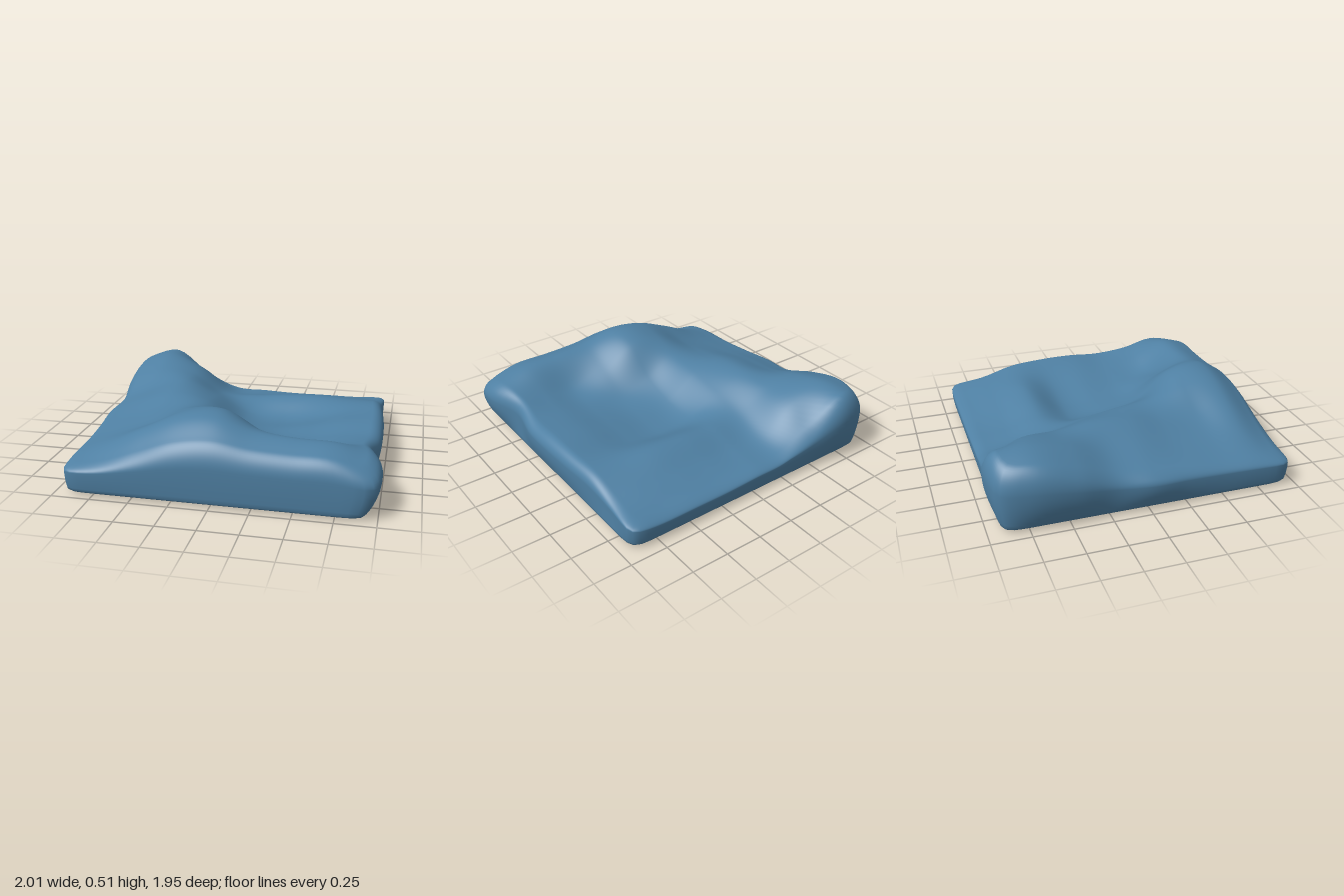
import * as THREE from 'three';
import { mergeVertices } from 'three/addons/utils/BufferGeometryUtils.js';

// Heights of the rolling top: rows run back to front, columns run -x to +x.
const HEIGHTS = [
  [.40, .45, .27, .17, .16, .15, .15, .15, .17],
  [.42, .465, .38, .21, .19, .20, .21, .21, .20],
  [.36, .42, .39, .26, .25, .27, .28, .27, .27],
  [.27, .35, .41, .32, .20, .18, .21, .26, .29],
  [.25, .33, .40, .36, .22, .19, .22, .27, .29],
  [.23, .29, .36, .39, .29, .22, .22, .26, .28],
  [.21, .27, .35, .46, .47, .34, .26, .29, .32],
  [.20, .27, .38, .475, .50, .43, .405, .395, .34],
  [.18, .20, .27, .35, .38, .36, .35, .35, .29],
];
// How far each side swells past its straight base.
const LEFT = [.0, .045, .045, .015, .035, .015, .005, .005, 0];
const RIGHT = [0, -.015, -.005, .015, .025, .02, -.01, .055, .05];
const BACK = [.01, .045, .015, 0, 0, 0, 0, 0, 0];

// Smooth curve through evenly spaced values, t from 0 to 1.
function spline(values, t) {
  const n = values.length - 1;
  const f = THREE.MathUtils.clamp(t, 0, 1) * n;
  const i = Math.min(Math.floor(f), n - 1);
  const u = f - i;
  const at = (k) => values[THREE.MathUtils.clamp(k, 0, n)];
  const [a, b, c, d] = [at(i - 1), at(i), at(i + 1), at(i + 2)];
  return b + 0.5 * u * (c - a + u * (2 * a - 5 * b + 4 * c - d + u * (3 * (b - c) + d - a)));
}

const across = (x) => (x + 0.96) / 1.92;
const along = (z) => (z + 0.925) / 1.89;
const height = (x, z) => spline(HEIGHTS.map((row) => spline(row, across(x))), along(z));

// Rounded-square position at angle, scaled by r, swollen by w.
function plan(angle, r, w) {
  const c = Math.cos(angle), s = Math.sin(angle), n = 26;
  const k = r / Math.pow(Math.abs(c) ** n + Math.abs(s) ** n, 1 / n);
  const px = c * k, pz = s * k;
  let x = px * 0.945, z = pz * 0.945 + 0.02;
  const swellX = w * Math.abs(px) ** 6, swellZ = w * Math.abs(pz) ** 6;
  const side = spline(px > 0 ? RIGHT : LEFT, along(z));
  const back = pz < 0 ? spline(BACK, across(x)) : 0;
  x += Math.sign(px) * side * swellX;
  z -= back * swellZ;
  return [x, z];
}

function slabGeometry() {
  const M = 192, TOP = 60, RIM = 12, WALL = 8, BASE = 16, EDGE = 0.925;
  const rings = [];
  // Top surface, from the centre out to the rim
  for (let i = 0; i <= TOP; i++) {
    const r = EDGE * i / TOP;
    rings.push((a) => {
      const [x, z] = plan(a, r, 1);
      return [x, height(x, z), z];
    });
  }
  // Rounded rim, dropping further where the slab is tall
  const drop = (h) => Math.max(0.03, 0.5 * (h - 0.12));
  const wallTop = (a) => {
    const h = height(...plan(a, 1.005, 1));
    return h - drop(h);
  };
  for (let i = 1; i <= RIM; i++) {
    const t = i / RIM * Math.PI / 2;
    rings.push((a) => {
      const [x, z] = plan(a, EDGE + (1.005 - EDGE) * Math.sin(t), 1);
      const h = height(x, z);
      return [x, h - drop(h) * (1 - Math.cos(t)), z];
    });
  }
  // Wall tapering down to the base
  for (let i = 1; i <= WALL; i++) {
    const t = i / WALL;
    rings.push((a) => {
      const [x, z] = plan(a, 1.005 - 0.012 * t * t, 1 - t * t);
      return [x, THREE.MathUtils.lerp(wallTop(a), 0.03, t), z];
    });
  }
  // Underside with a shallow bulge
  for (let i = 0; i <= BASE; i++) {
    const r = 0.982 * (1 - i / BASE);
    rings.push((a) => {
      const [x, z] = plan(a, r, 0);
      const d = ((x - 0.15) / 0.28) ** 2 + ((z + 0.18) / 0.2) ** 2;
      return [x, 0.018 - 0.016 * Math.exp(-d), z];
    });
  }

  // Join neighbouring rings
  const positions = [], index = [];
  rings.forEach((ring, i) => {
    for (let j = 0; j < M; j++) {
      positions.push(...ring(j / M * Math.PI * 2));
      if (i === rings.length - 1) continue;
      const k = (j + 1) % M;
      const a = i * M + j, b = i * M + k, c = a + M, d = b + M;
      if (i > 0) index.push(a, b, c);
      if (i < rings.length - 2) index.push(b, d, c);
    }
  });
  // The first ring is a single point, so its fan uses the outer triangles only
  const geometry = new THREE.BufferGeometry();
  geometry.setAttribute('position', new THREE.Float32BufferAttribute(positions, 3));
  geometry.setIndex(index);
  const merged = mergeVertices(geometry, 1e-5);
  merged.computeVertexNormals();
  return merged;
}

export function createModel() {
  const group = new THREE.Group();
  group.name = 'wavySlab';
  const waterBlue = new THREE.MeshStandardMaterial({ color: 0x4f80a3 });
  waterBlue.name = 'water blue';
  const slab = new THREE.Mesh(slabGeometry(), waterBlue);
  slab.name = 'waterSurface';
  group.add(slab);
  return group;
}
